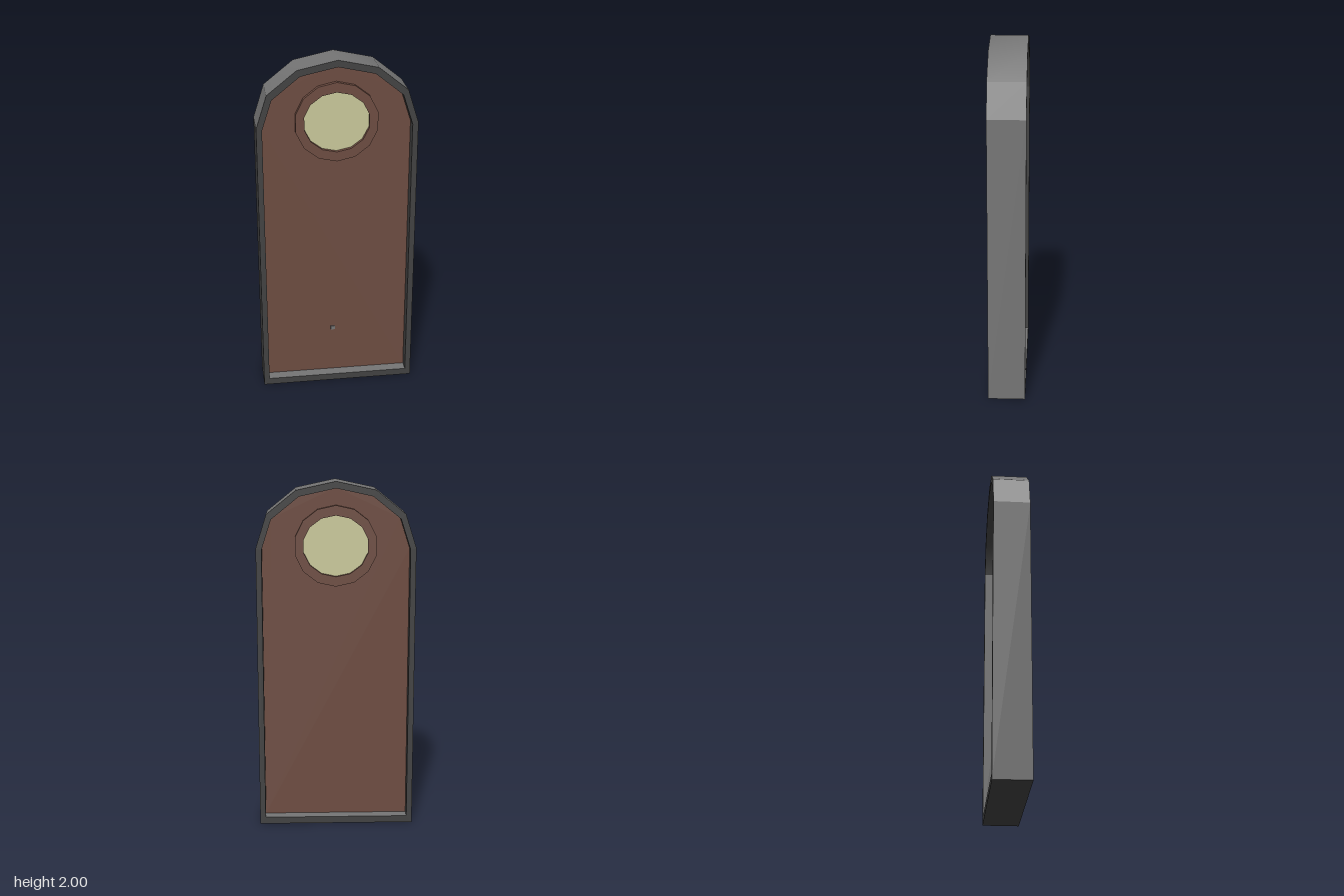
import * as THREE from 'three';

const mat = (name, color, side = THREE.FrontSide) => {
  const m = new THREE.MeshStandardMaterial({ color, side });
  m.name = name;
  return m;
};

// Half outline (bottom right up to the apex), mirrored to a counterclockwise arch
const mirror = (half) => [
  ...half,
  ...half.slice(0, -1).reverse().map(([x, y]) => [-x, y]),
];
const OUTER = mirror([[0.447, 0], [0.447, 1.632], [0.387, 1.82], [0.222, 1.952], [0, 2]]);
const INNER = mirror([[0.415, 0.04], [0.415, 1.622], [0.36, 1.792], [0.205, 1.917], [0, 1.962]]);

const toVec = (pts) => pts.map(([x, y]) => new THREE.Vector2(x, y));

// 14-sided oval with a corner at the top
const oval = (rx, ry) => Array.from({ length: 14 }, (_, i) => {
  const a = Math.PI / 2 + (i * Math.PI * 2) / 14;
  return [Math.cos(a) * rx, 1.637 + Math.sin(a) * ry];
});

// Wall swept through the depth along a path; shaded smoothly within one path
function wall(path, z) {
  const pos = [], idx = [];
  path.forEach(([x, y], i) => {
    pos.push(x, y, z, x, y, -z);
    if (i < path.length - 1) {
      const a = i * 2;
      idx.push(a, a + 1, a + 3, a, a + 3, a + 2);
    }
  });
  const g = new THREE.BufferGeometry();
  g.setAttribute('position', new THREE.Float32BufferAttribute(pos, 3));
  g.setIndex(idx);
  g.computeVertexNormals();
  return g;
}

// Solid of an outline (with optional hole) centred on z = 0
function slab(outline, depth, hole) {
  const s = new THREE.Shape(toVec(outline));
  if (hole) s.holes.push(new THREE.Path(toVec(hole)));
  return new THREE.ExtrudeGeometry(s, { depth, bevelEnabled: false }).translate(0, 0, -depth / 2);
}

export function createModel() {
  const model = new THREE.Group();
  model.name = 'archedDoor';
  const darkGrey = mat('dark grey trim', 0x424242);
  const lightGrey = mat('light grey stone', 0x757575);
  const brown = mat('brown wood', 0x6d4c41);
  const glass = mat('pale yellow glass', 0xc9c89a);

  const add = (parent, name, geometry, material) => {
    const mesh = new THREE.Mesh(geometry, material);
    mesh.name = name;
    parent.add(mesh);
    return mesh;
  };

  // Frame: dark rims on both faces, walls around the outside and inside
  const frame = new THREE.Group();
  frame.name = 'frame';
  model.add(frame);
  const D = 0.105;
  const rimShape = new THREE.Shape(toVec(OUTER));
  rimShape.holes.push(new THREE.Path(toVec(INNER)));
  const rim = new THREE.ShapeGeometry(rimShape);
  add(frame, 'frontRim', rim, darkGrey).position.z = D;
  const back = add(frame, 'backRim', rim, darkGrey);
  back.position.z = -D;
  back.rotation.y = Math.PI;

  add(frame, 'leftOuterWall', wall(OUTER.slice(0, 2), D), lightGrey);
  add(frame, 'leftOuterHaunch', wall(OUTER.slice(1, 3), D), lightGrey);
  add(frame, 'outerArch', wall(OUTER.slice(2, 7), D), lightGrey);
  add(frame, 'rightOuterHaunch', wall(OUTER.slice(6, 8), D), lightGrey);
  add(frame, 'rightOuterWall', wall(OUTER.slice(7, 9), D), darkGrey);
  add(frame, 'underside', wall([OUTER[8], OUTER[0]], D), darkGrey);

  const inside = [...INNER].reverse();
  add(frame, 'rightInnerWall', wall(inside.slice(0, 2), D), darkGrey);
  add(frame, 'innerArch', wall(inside.slice(1, 8), D), darkGrey);
  add(frame, 'leftInnerWall', wall(inside.slice(7, 9), D), darkGrey);
  add(frame, 'sill', wall([inside[8], inside[0]], D), lightGrey);

  // Door leaf with a raised ring and pane on both faces
  add(model, 'doorPanel', slab(INNER, 0.08), brown);
  add(model, 'windowRing', slab(oval(0.235, 0.228), 0.13, oval(0.185, 0.172)), brown);
  add(model, 'windowPane', slab(oval(0.185, 0.172), 0.086), glass);

  // Tiny metal stud low on the front
  add(model, 'stud', new THREE.BoxGeometry(0.024, 0.024, 0.006), lightGrey)
    .position.set(-0.022, 0.328, 0.041);

  return model;
}
